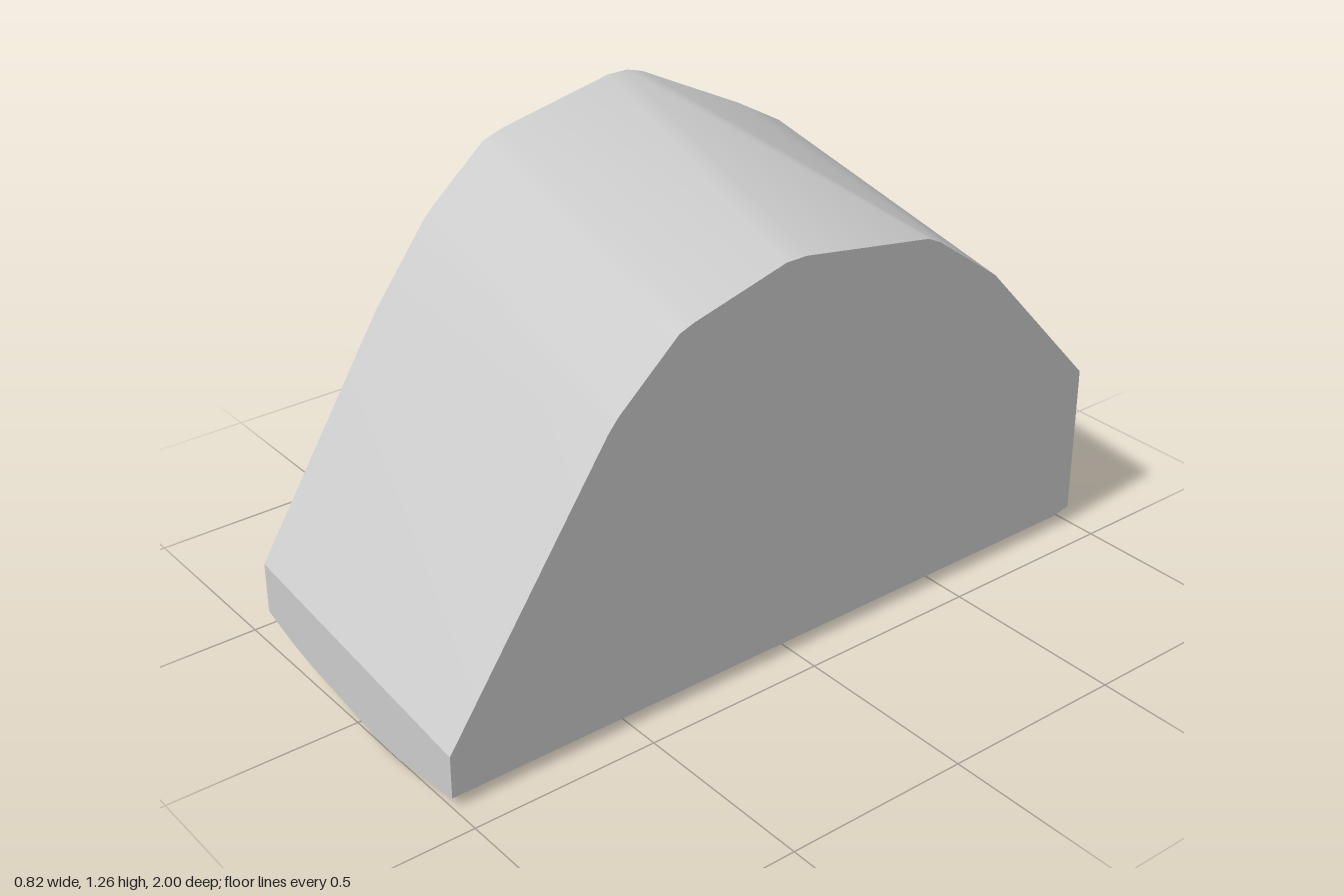
import * as THREE from 'three';
import { ConvexGeometry } from 'three/addons/geometries/ConvexGeometry.js';
import { toCreasedNormals } from 'three/addons/utils/BufferGeometryUtils.js';

const HALF_WIDTH = 0.41;

// Upper outlines of the two flat sides, as [z, y] from front to back
const tallSide = [
  [1, 0.24], [0.64, 0.82], [0.49, 1.02], [0.46, 1.05], [0.31, 1.18], [0.25, 1.2],
  [-0.07, 1.265], [-0.13, 1.265], [-0.18, 1.25], [-0.5, 1.09], [-0.64, 1.01],
  [-0.69, 0.96], [-0.93, 0.65], [-0.96, 0.58], [-1, 0.37],
];
const lowSide = [
  [1, 0.14], [0.55, 0.8], [0.52, 0.835], [0.35, 0.985], [0.31, 1.0],
  [0.04, 1.07], [-0.02, 1.07], [-0.41, 1.005], [-0.45, 0.985], [-0.65, 0.84], [-1, 0.46],
];

// Curved underside, as [x, y] across the front and the back end
const frontKeel = [
  [-HALF_WIDTH, 0.103], [-0.3, 0.068], [-0.2, 0.046], [0, 0.019],
  [0.12, 0.002], [0.18, 0], [HALF_WIDTH, 0.027],
];
const backKeel = [
  [-HALF_WIDTH, 0.11], [-0.25, 0.06], [-0.04, 0.03], [0.14, 0.025], [HALF_WIDTH, 0.045],
];

export function createModel() {
  const side = (outline, x) => outline.map(([z, y]) => new THREE.Vector3(x, y, z));
  const end = (outline, z) => outline.map(([x, y]) => new THREE.Vector3(x, y, z));

  // One solid wedge stretched between the side outlines and the underside
  const points = [
    ...side(tallSide, -HALF_WIDTH),
    ...side(lowSide, HALF_WIDTH),
    ...end(frontKeel, 1),
    ...end(backKeel, -1),
    // small chamfer under the back corner and the bend in the back's top edge
    new THREE.Vector3(HALF_WIDTH, 0.034, -0.94),
    new THREE.Vector3(-0.19, 0.42, -1),
  ];

  const geometry = toCreasedNormals(new ConvexGeometry(points), 0.45);
  const body = new THREE.Mesh(geometry, new THREE.MeshStandardMaterial({ color: 0xcccccc }));
  body.name = 'wedgeBody';

  const group = new THREE.Group();
  group.name = 'roundedWedge';
  group.add(body);
  return group;
}
